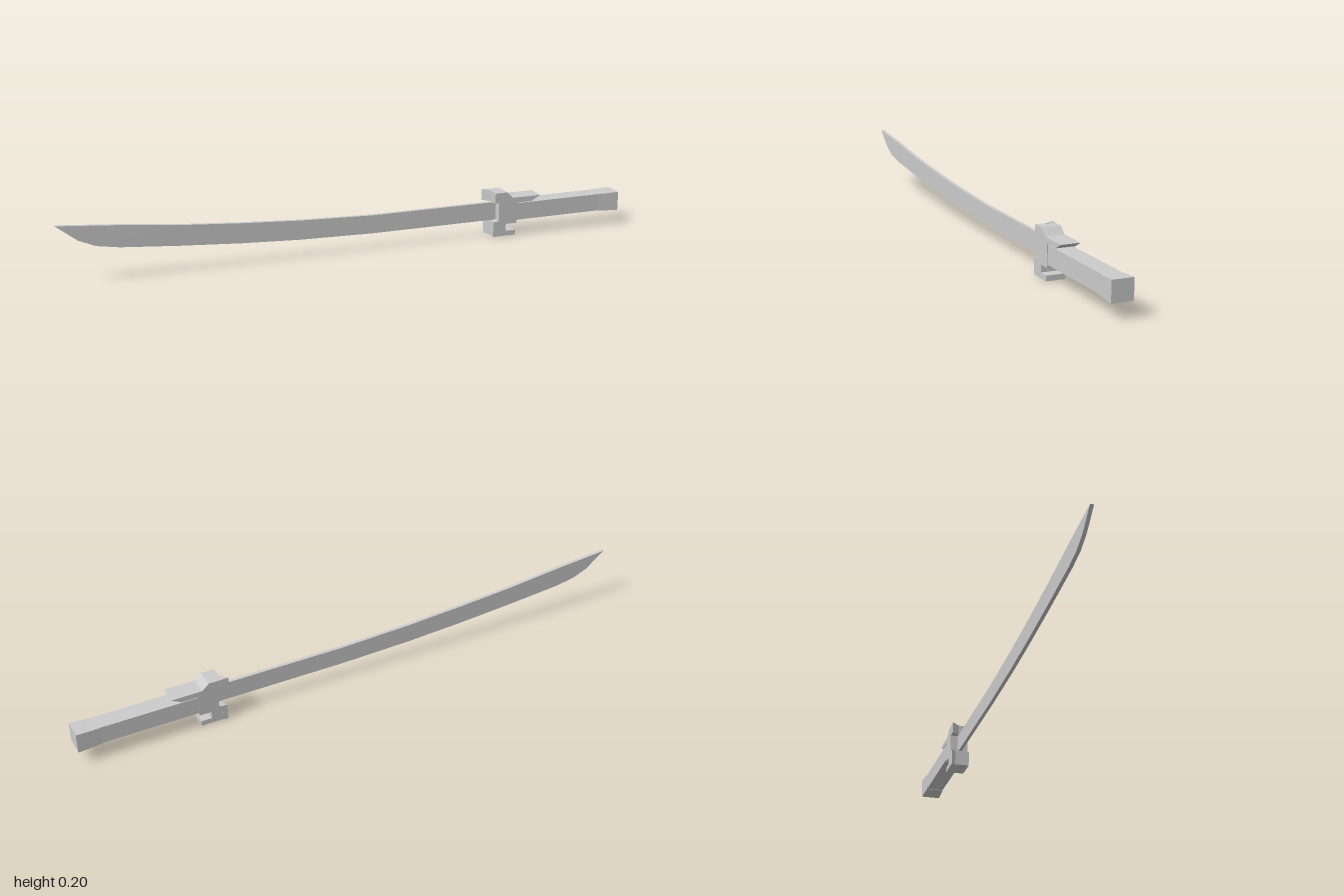
import * as THREE from 'three';

const material = new THREE.MeshStandardMaterial({ color: 0xcccccc, flatShading: true });

// Closed outline in x/y, extruded between two z values
function plate(name, points, z0, z1) {
  const shape = new THREE.Shape(points.map(([x, y]) => new THREE.Vector2(x, y)));
  const geometry = new THREE.ExtrudeGeometry(shape, { depth: z1 - z0, bevelEnabled: false });
  geometry.translate(0, 0, z0);
  const mesh = new THREE.Mesh(geometry, material);
  mesh.name = name;
  return mesh;
}

// Wedge with a triangular x/z plan, rising from y0 to y1
function wedge(name, points, y0, y1) {
  const shape = new THREE.Shape(points.map(([x, z]) => new THREE.Vector2(x, -z)));
  const geometry = new THREE.ExtrudeGeometry(shape, { depth: y1 - y0, bevelEnabled: false });
  geometry.rotateX(-Math.PI / 2);
  geometry.translate(0, y0, 0);
  const mesh = new THREE.Mesh(geometry, material);
  mesh.name = name;
  return mesh;
}

function box(name, x0, x1, y0, y1, halfDepth) {
  const geometry = new THREE.BoxGeometry(x1 - x0, y1 - y0, halfDepth * 2);
  geometry.translate((x0 + x1) / 2, (y0 + y1) / 2, 0);
  const mesh = new THREE.Mesh(geometry, material);
  mesh.name = name;
  return mesh;
}

export function createModel() {
  const model = new THREE.Group();
  model.name = 'sword';

  // Thin blade, curving up to the point
  model.add(plate('blade', [
    [0.55, 0.059], [0.55, 0.123], [0.06, 0.124], [-0.2, 0.134], [-0.4, 0.147],
    [-0.6, 0.163], [-0.8, 0.185], [-1, 0.203], [-0.93, 0.148], [-0.875, 0.124],
    [-0.8, 0.111], [-0.6, 0.093], [-0.4, 0.078], [-0.2, 0.067], [0.06, 0.06],
  ], -0.006, 0.006));

  // Guard with rear fin on top and open hook below
  const guard = new THREE.Group();
  guard.name = 'guard';
  guard.add(plate('guardBody', [
    [0.51, 0.125], [0.51, 0.162], [0.555, 0.162], [0.578, 0.14], [0.685, 0.14],
    [0.65, 0.121], [0.595, 0.121], [0.595, 0.047], [0.553, 0.047], [0.553, 0.022],
    [0.59, 0.022], [0.59, 0.004], [0.505, 0.004], [0.505, 0.058], [0.525, 0.06], [0.525, 0.125],
  ], -0.032, 0.033));

  // Slanted lips on the blade side of the guard
  guard.add(wedge('upperLip', [[0.487, -0.033], [0.515, -0.033], [0.515, 0]], 0.124, 0.163));
  guard.add(wedge('lowerLip', [[0.497, -0.033], [0.515, -0.033], [0.515, 0]], 0.002, 0.058));
  model.add(guard);

  // Grip
  model.add(box('grip', 0.56, 0.95, 0.057, 0.118, 0.031));

  // Pommel, its inner end narrowed to meet the grip
  const pommel = box('pommel', 0.92, 1, 0.052, 0.12, 0.0355);
  const position = pommel.geometry.attributes.position;
  for (let i = 0; i < position.count; i++) {
    if (position.getX(i) < 0.95) {
      position.setY(i, 0.087 + (position.getY(i) - 0.087) * 0.9);
      position.setZ(i, position.getZ(i) * 0.89);
    }
  }
  pommel.geometry.computeVertexNormals();
  model.add(pommel);

  return model;
}
